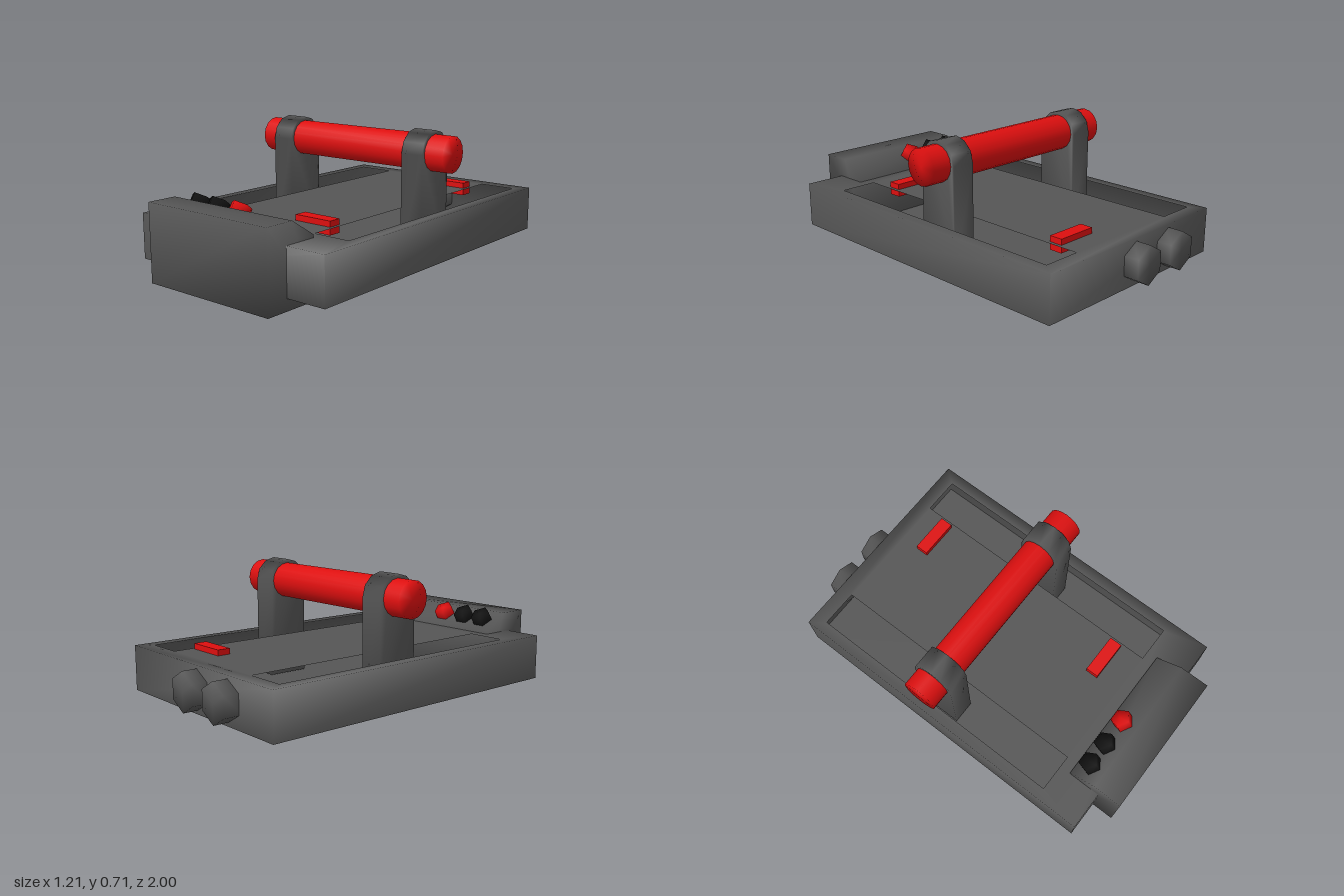
import * as THREE from 'three';
import { mergeVertices, mergeGeometries } from 'three/addons/utils/BufferGeometryUtils.js';

// Weld corners so normals blend across edges
function smooth(geo) {
  geo.deleteAttribute('uv');
  geo.deleteAttribute('normal');
  const g = mergeVertices(geo, 1e-4);
  g.computeVertexNormals();
  return g;
}

const rectPoints = (x0, y0, x1, y1) =>
  [[x0, y0], [x1, y0], [x1, y1], [x0, y1]].map(([x, y]) => new THREE.Vector2(x, y));

// Extrude a (z, y) profile along x, from x0 to x1
function extrudeX(shape, x0, x1) {
  const g = new THREE.ExtrudeGeometry(shape, { depth: x1 - x0, bevelEnabled: false });
  g.rotateY(-Math.PI / 2); // shape x -> +z, depth -> -x
  g.translate(x1, 0, 0);
  return g;
}

export function createModel() {
  const model = new THREE.Group();
  const grey = new THREE.MeshStandardMaterial({ color: 0x555555, side: THREE.DoubleSide });
  grey.name = 'darkGrey';
  const red = new THREE.MeshStandardMaterial({ color: 0xdd0f0f });
  red.name = 'red';
  const black = new THREE.MeshStandardMaterial({ color: 0x111111 });
  black.name = 'black';

  const add = (name, geo, mat, x = 0, y = 0, z = 0) => {
    const m = new THREE.Mesh(geo, mat);
    m.name = name;
    m.position.set(x, y, z);
    model.add(m);
    return m;
  };

  // Hollow body: top plate with two long slots, four walls, flat floor
  const X = 0.605, zBack = -0.92, zFront = 0.88, yLow = 0.06, yTop = 0.3;
  const top = new THREE.Shape(rectPoints(-X, -zFront, X, -zBack));
  for (const [a, b] of [[-0.545, -0.34], [0.34, 0.54]]) {
    top.holes.push(new THREE.Path(rectPoints(a, -0.64, b, 0.84)));
  }
  const topGeo = new THREE.ShapeGeometry(top).rotateX(-Math.PI / 2).translate(0, yTop, 0);
  const h = yTop - yLow, len = zFront - zBack, yMid = (yTop + yLow) / 2, zMid = (zFront + zBack) / 2;
  const walls = [
    new THREE.PlaneGeometry(2 * X, h).translate(0, yMid, zFront),
    new THREE.PlaneGeometry(2 * X, h).rotateY(Math.PI).translate(0, yMid, zBack),
    new THREE.PlaneGeometry(len, h).rotateY(Math.PI / 2).translate(X, yMid, zMid),
    new THREE.PlaneGeometry(len, h).rotateY(-Math.PI / 2).translate(-X, yMid, zMid),
  ];
  add('bodyShell', smooth(mergeGeometries([topGeo, ...walls])), grey);
  add('bodyFloor', new THREE.PlaneGeometry(2 * X, len).rotateX(Math.PI / 2), grey, 0, yLow, zMid);

  // Control box with slanted back panel
  const box = new THREE.Shape([[0.7, 0], [1, 0], [1, 0.405], [0.84, 0.405], [0.7, 0.315]]
    .map(([z, y]) => new THREE.Vector2(z, y)));
  add('controlBox', smooth(extrudeX(box, -0.4, 0.385)), grey);

  // Knobs standing on the slanted panel
  const knobGeo = smooth(new THREE.CylinderGeometry(0.055, 0.055, 0.06, 5));
  [[-0.31, black], [-0.18, black], [-0.03, red]].forEach(([x, mat], i) => {
    add('knob' + (i + 1), knobGeo, mat, x, 0.375, 0.758).rotation.x = -0.57;
  });

  // Arched posts rising out of the slots
  const zc = -0.095, r = 0.115, yc = 0.597;
  const arch = new THREE.Shape();
  arch.moveTo(zc - r, yLow + 0.01);
  arch.lineTo(zc + r, yLow + 0.01);
  for (let i = 0; i <= 6; i++) {
    const a = (i / 6) * Math.PI;
    arch.lineTo(zc + r * Math.cos(a), yc + r * Math.sin(a));
  }
  add('rightPost', smooth(extrudeX(arch, -0.503, -0.378)), grey);
  add('leftPost', smooth(extrudeX(arch, 0.375, 0.5)), grey);

  // Handle bar
  const bar = smooth(new THREE.CylinderGeometry(0.095, 0.095, 2 * X, 16));
  add('handleBar', bar.rotateZ(Math.PI / 2), red, 0, yc, zc);

  // Red tabs passing through the top plate
  const tabGeo = new THREE.BoxGeometry(0.22, 0.07, 0.07);
  add('frontTab', tabGeo, red, 0.21, 0.295, 0.475);
  add('backTab', tabGeo, red, 0.21, 0.295, -0.7);

  // Hexagonal sockets on the back wall
  const socketGeo = smooth(new THREE.CylinderGeometry(0.102, 0.102, 0.1, 6)).rotateX(Math.PI / 2);
  for (const [name, x] of [['rightSocket', -0.263], ['leftSocket', -0.003]]) {
    add(name, socketGeo, grey, x, 0.182, -0.95);
  }
  return model;
}
